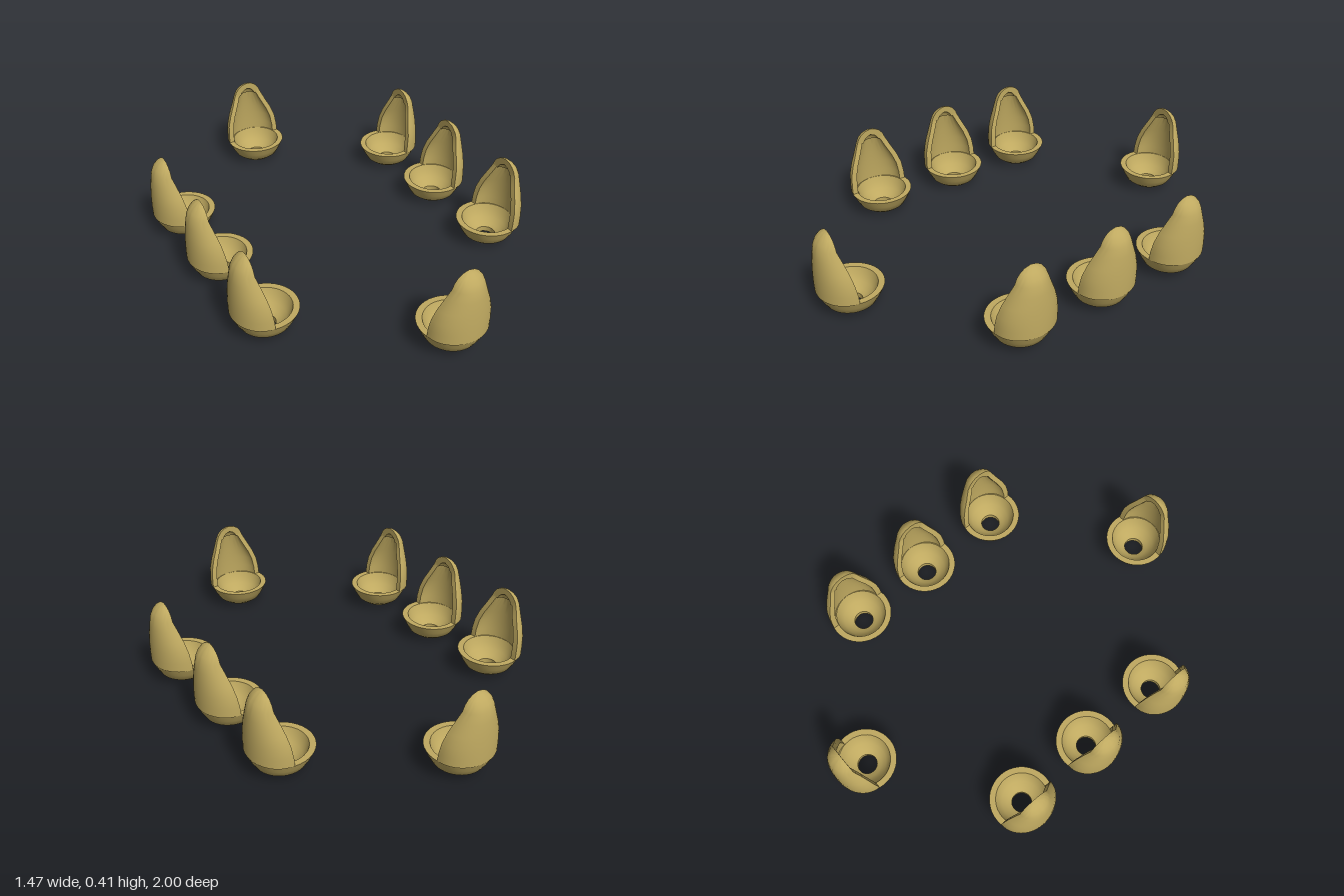
import * as THREE from 'three';
import { toCreasedNormals } from 'three/addons/utils/BufferGeometryUtils.js';

const material = new THREE.MeshStandardMaterial({ color: 0xbfa960 });

// Round seat bowl with a thick wall, flat rim and a hole in the bottom
function bowlGeometry() {
  const profile = [
    [0.045, 0], [0.08, 0.017], [0.11, 0.04], [0.13, 0.075], [0.146, 0.11],
    [0.118, 0.11], [0.108, 0.083], [0.09, 0.055], [0.066, 0.036], [0.045, 0.025], [0.045, 0],
  ].map(([r, y]) => new THREE.Vector2(r, y));
  return toCreasedNormals(new THREE.LatheGeometry(profile, 40), 0.7);
}

// Hooded back: half-oval shell sections, stacked upwards and closing at the top
function backGeometry() {
  // height, front edge, rear extent, half width
  const outer = [
    [0.11, 0.024, 0.146, 0.143], [0.15, 0.027, 0.146, 0.142], [0.2, 0.034, 0.144, 0.136],
    [0.25, 0.043, 0.141, 0.119], [0.3, 0.055, 0.136, 0.095], [0.345, 0.067, 0.129, 0.075],
    [0.37, 0.067, 0.118, 0.065], [0.39, 0.067, 0.102, 0.049], [0.403, 0.067, 0.086, 0.029],
    [0.41, 0.067, 0.067, 0],
  ];
  // inner face: even wall, then a small ledge under the thicker cap
  const cap = [
    [0.345, 0.067, 0.093, 0.04], [0.36, 0.067, 0.088, 0.033],
    [0.372, 0.067, 0.08, 0.02], [0.38, 0.067, 0.067, 0],
  ];
  const inner = outer.slice(0, 6).map(([y, c, b, w]) => [y, c, b - 0.027, w - 0.027]).concat(cap);

  const n = 24;
  const positions = [];
  const index = [];
  const arcPoint = ([y, c, b, w], k) => {
    const a = (Math.PI * k) / n;
    positions.push(c + (b - c) * Math.sin(a), y, w * Math.cos(a));
  };
  outer.forEach((section, i) => {
    for (let k = 0; k <= n; k++) arcPoint(section, k);
    for (let k = n; k >= 0; k--) arcPoint(inner[i], k);
  });
  const m = 2 * (n + 1);
  for (let i = 0; i < outer.length - 1; i++) {
    for (let j = 0; j < m; j++) {
      const a = i * m + j;
      const b = i * m + ((j + 1) % m);
      index.push(a, b, b + m, a, b + m, a + m);
    }
  }
  const geometry = new THREE.BufferGeometry();
  geometry.setAttribute('position', new THREE.Float32BufferAttribute(positions, 3));
  geometry.setIndex(index);
  return toCreasedNormals(geometry, 0.7);
}

export function createModel() {
  const model = new THREE.Group();
  model.name = 'chairSet';
  const bowl = bowlGeometry();
  const back = backGeometry();

  function addChair(name, x, z, angle) {
    const chair = new THREE.Group();
    chair.name = name;
    const seat = new THREE.Mesh(bowl, material);
    seat.name = 'seatBowl';
    const hood = new THREE.Mesh(back, material);
    hood.name = 'hoodedBack';
    chair.add(seat, hood);
    chair.position.set(x, 0, z);
    chair.rotation.y = angle;
    model.add(chair);
  }

  // Three chairs along each side, facing inwards
  [-0.43, -0.03, 0.39].forEach((z, i) => {
    addChair(`leftChair${i + 1}`, 0.588, z, 0);
    addChair(`rightChair${i + 1}`, -0.592, z, Math.PI);
  });
  // One chair at each end
  addChair('frontChair', 0.008, 0.854, -Math.PI / 2);
  addChair('backChair', 0.008, -0.854, Math.PI / 2);
  return model;
}
